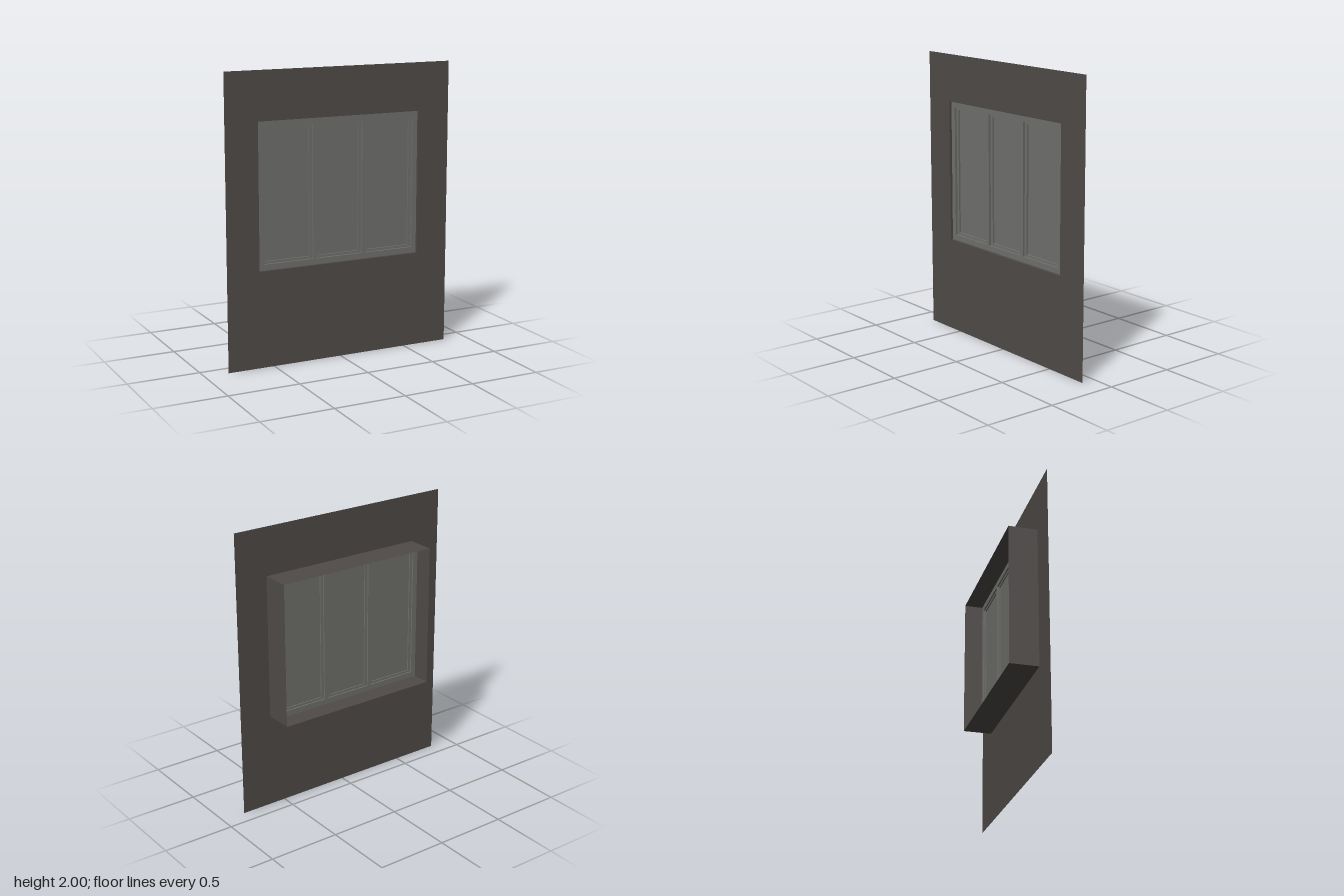
import * as THREE from 'three';

// Rectangle outline, used for both shapes and holes
function rect(PathType, [x0, y0, x1, y1]) {
  const p = new PathType();
  p.moveTo(x0, y0);
  p.lineTo(x1, y0);
  p.lineTo(x1, y1);
  p.lineTo(x0, y1);
  p.closePath();
  return p;
}

function shapeWithHoles(outer, holes) {
  const shape = rect(THREE.Shape, outer);
  holes.forEach((h) => shape.holes.push(rect(THREE.Path, h)));
  return shape;
}

// Slab with rectangular holes between two depths
function slab(outer, holes, back, front) {
  const g = new THREE.ExtrudeGeometry(shapeWithHoles(outer, holes), {
    depth: front - back, bevelEnabled: false,
  });
  return g.translate(0, 0, back);
}

export function createModel() {
  const wallMaterial = new THREE.MeshStandardMaterial({ color: 0x504b49 });
  wallMaterial.name = 'wall';
  wallMaterial.side = THREE.DoubleSide;
  const windowMaterial = new THREE.MeshStandardMaterial({ color: 0x70716d });
  windowMaterial.name = 'window';

  const model = new THREE.Group();
  model.name = 'windowInWall';
  const add = (name, geometry, material, parent = model) => {
    const mesh = new THREE.Mesh(geometry, material);
    mesh.name = name;
    parent.add(mesh);
    return mesh;
  };

  // Thin wall sheet with the window opening
  const opening = [-0.6, 0.667, 0.6, 1.667];
  const [left, bottom, right, top] = opening;
  const midY = (bottom + top) / 2;
  const wall = new THREE.ShapeGeometry(shapeWithHoles([-0.833, 0, 0.833, 2], [opening]));
  add('wall', wall.translate(0, 0, 0.1), wallMaterial);

  // Four reveal sheets running back from the opening
  for (const side of [-1, 1]) {
    const jamb = add('revealSide', new THREE.PlaneGeometry(0.2, top - bottom), wallMaterial);
    jamb.rotation.y = side * Math.PI / 2;
    jamb.position.set(side * right, midY, 0);
    const ledge = add('revealLedge', new THREE.PlaneGeometry(right - left, 0.2), wallMaterial);
    ledge.rotation.x = -side * Math.PI / 2;
    ledge.position.set(0, side > 0 ? top : bottom, 0);
  }

  // Main frame with three lights
  const lights = [[-0.562, -0.198], [-0.172, 0.172], [0.198, 0.562]]
    .map(([x0, x1]) => [x0, 0.708, x1, 1.626]);
  const e = 0.001;
  add('frame', slab([left + e, bottom + e, right - e, top - e], lights, 0.03, 0.083), windowMaterial);

  // A stepped-back sash and pane in each light
  lights.forEach(([x0, y0, x1, y1]) => {
    const sash = new THREE.Group();
    sash.name = 'sash';
    model.add(sash);
    const pane = [x0 + 0.021, y0 + 0.016, x1 - 0.021, y1 - 0.016];
    add('sashFrame', slab([x0, y0, x1, y1], [pane], 0.04, 0.067), windowMaterial, sash);
    add('pane', slab(pane, [], 0.048, 0.054), windowMaterial, sash);
  });

  return model;
}
